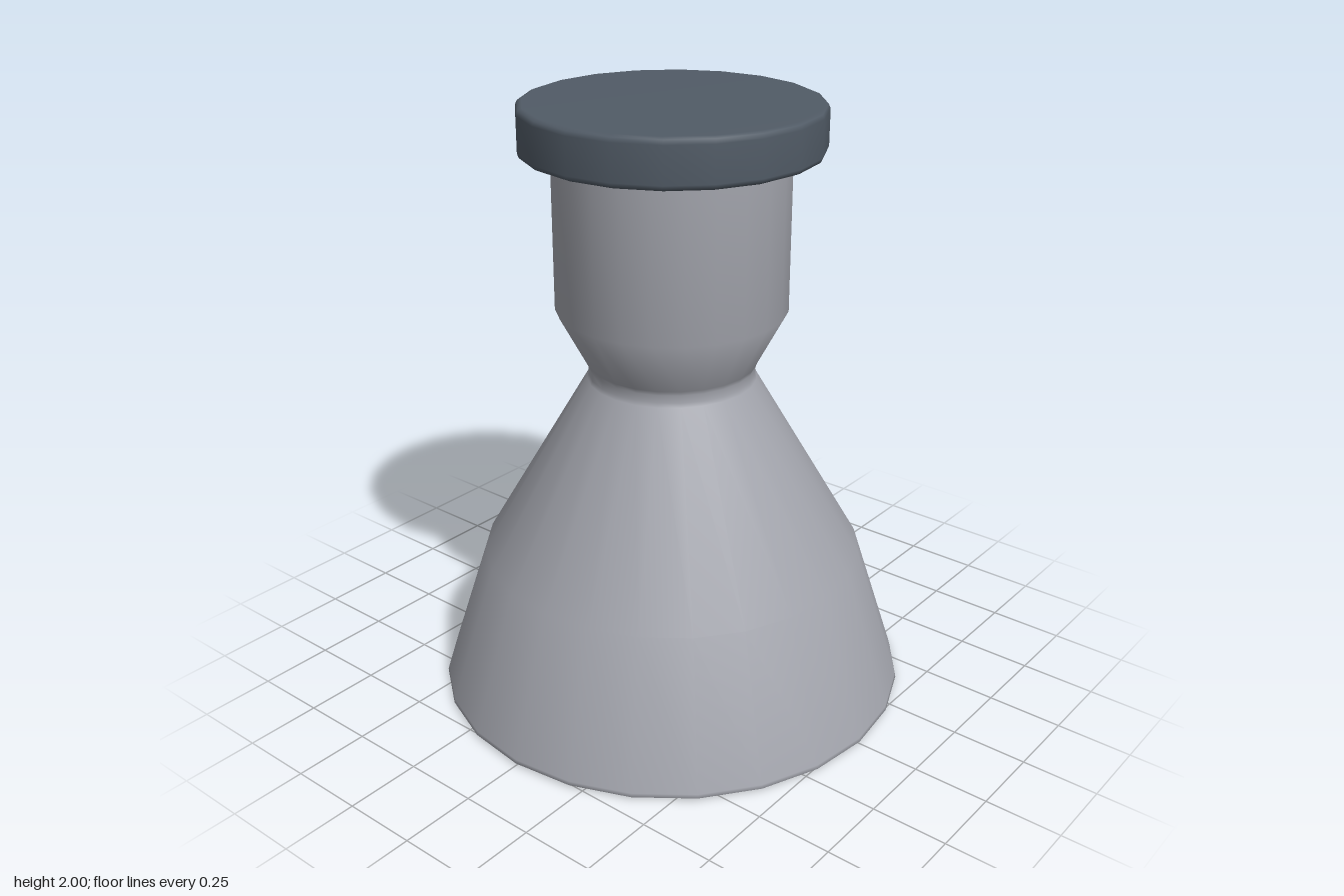
import * as THREE from 'three';
import { mergeGeometries } from 'three/addons/utils/BufferGeometryUtils.js';

// Joins lathed strips; the edge between two strips stays sharp.
function turned(name, strips, sides, material) {
  const parts = strips.map((strip) =>
    new THREE.LatheGeometry(strip.map(([r, y]) => new THREE.Vector2(r, y)), sides));
  const mesh = new THREE.Mesh(mergeGeometries(parts), material);
  mesh.name = name;
  return mesh;
}

export function createModel() {
  const grey = new THREE.MeshStandardMaterial({ color: 0xa3a5ad });
  grey.name = 'light grey';
  const slate = new THREE.MeshStandardMaterial({ color: 0x515b66 });
  slate.name = 'slate';

  const model = new THREE.Group();
  model.name = 'flaskWithCap';

  // Flared body, pinched waist and straight neck, with a closed base
  model.add(turned('body', [
    [[0, 0], [0.78, 0]],
    [[0.78, 0], [0.79, 0.008], [0.787, 0.02], [0.635, 0.49], [0.278, 1.1],
      [0.273, 1.115], [0.273, 1.14], [0.278, 1.155], [0.375, 1.34], [0.375, 1.86]],
  ], 24, grey));

  // Flat disc cap with softly rounded rims
  model.add(turned('cap', [
    [[0, 1.845], [0.46, 1.845], [0.474, 1.851], [0.48, 1.865],
      [0.48, 1.98], [0.474, 1.994], [0.46, 2], [0, 2]],
  ], 20, slate));

  return model;
}
